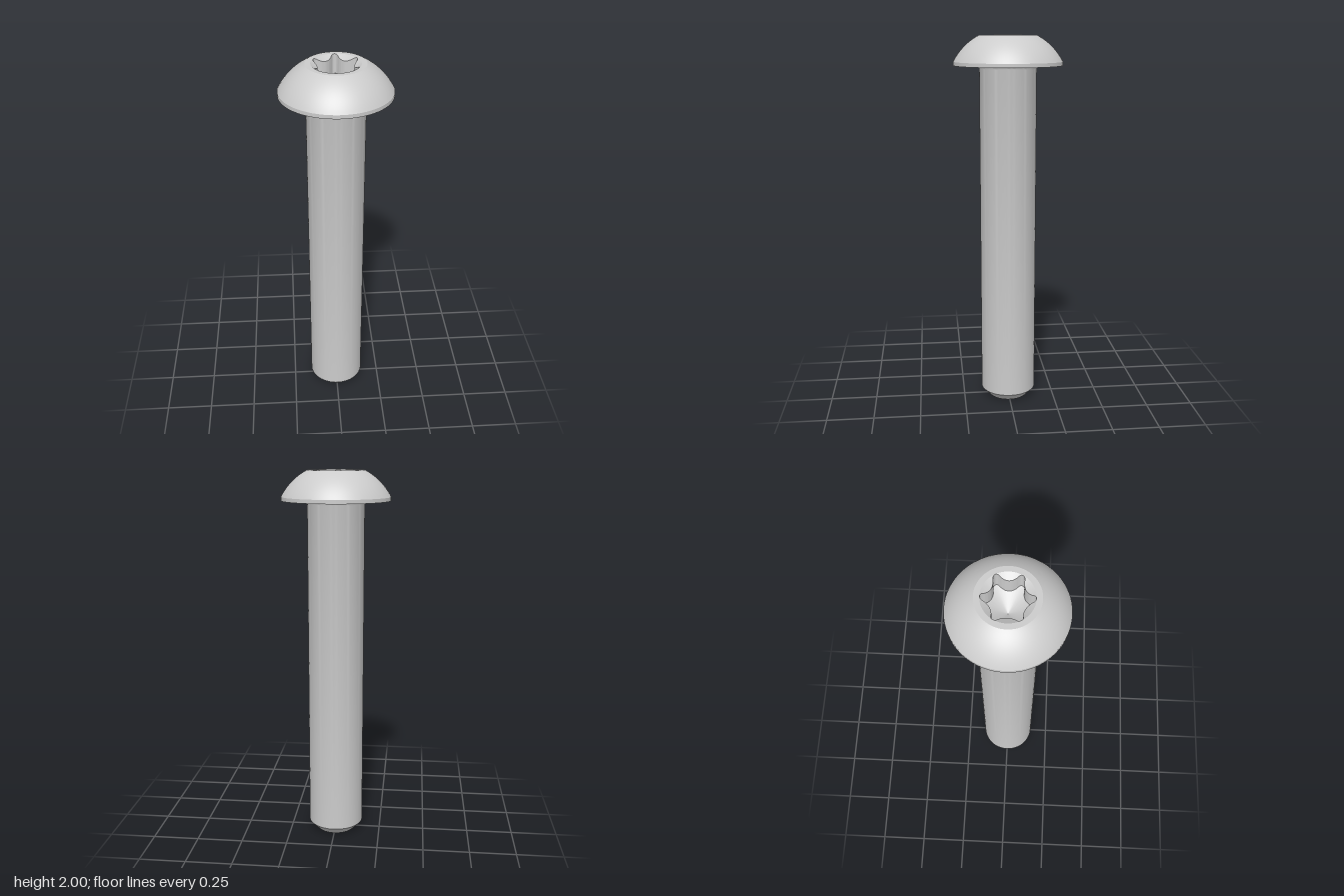
import * as THREE from 'three';
import { toCreasedNormals } from 'three/addons/utils/BufferGeometryUtils.js';

const TOP = 2, RIM = 0.1225, SLOPE = Math.tan(Math.PI / 6);

// Points (x, y) sampled along an arc
function arc(cx, cy, r, from, to, steps) {
  return Array.from({ length: steps + 1 }, (_, i) => {
    const t = from + (to - from) * i / steps;
    return new THREE.Vector2(cx + r * Math.cos(t), cy + r * Math.sin(t));
  });
}

// Six-lobed outline: small convex tips joined tangentially to wide concave arcs
function lobedOutline() {
  const tipR = 0.016, outer = 0.122, inner = 0.088, c = Math.cos(Math.PI / 6);
  const a = outer - tipR;
  const valleyR = (a * a + inner * inner - 2 * a * inner * c - tipR * tipR)
    / (2 * tipR - 2 * inner + 2 * a * c);
  const b = inner + valleyR, vx = b * c, vy = b / 2;
  const alpha = Math.atan2(vy, vx - a);
  const lobe = [
    ...arc(a, 0, tipR, -alpha, alpha, 10),
    ...arc(vx, vy, valleyR, alpha + Math.PI, Math.PI * 4 / 3 - alpha, 12).slice(1, -1),
  ];
  const points = [], origin = new THREE.Vector2();
  for (let k = 0; k < 6; k++) {
    for (const p of lobe) points.push(p.clone().rotateAround(origin, Math.PI / 2 + k * Math.PI / 3));
  }
  return points;
}

// Socket: conical countersink, lobed walls and a drill-point floor
function socketGeometry() {
  const star = lobedOutline(), n = star.length, floorApex = 1.83;
  const rings = [
    star.map(p => p.clone().setLength(RIM)).map(p => [p.x, TOP, p.y]),
    star.map(p => [p.x, TOP - (RIM - p.length()) * SLOPE, p.y]),
    star.map(p => [p.x, floorApex + p.length() * SLOPE, p.y]),
    star.map(() => [0, floorApex, 0]),
  ];
  const index = [];
  for (let r = 0; r < 3; r++) {
    for (let i = 0; i < n; i++) {
      const a = r * n + i, a2 = r * n + (i + 1) % n;
      index.push(a, a + n, a2);
      if (r < 2) index.push(a + n, a2 + n, a2);
    }
  }
  const geometry = new THREE.BufferGeometry();
  geometry.setAttribute('position', new THREE.Float32BufferAttribute(rings.flat(2), 3));
  geometry.setIndex(index);
  return toCreasedNormals(geometry, 0.45);
}

function lathe(points) {
  return toCreasedNormals(new THREE.LatheGeometry(points, 72), 0.4);
}

export function createModel() {
  const group = new THREE.Group();
  const material = new THREE.MeshStandardMaterial({ color: 0xcccccc });
  const add = (name, geometry) => {
    const mesh = new THREE.Mesh(geometry, material);
    mesh.name = name;
    group.add(mesh);
  };
  const v = (x, y) => new THREE.Vector2(x, y);

  // Shank with a chamfered end and a small fillet under the head
  const shankR = 0.15, headBase = 1.846, fillet = 0.016;
  add('shank', lathe([
    v(0, 0), v(0.106, 0), v(shankR, 0.046),
    ...arc(shankR + fillet, headBase - fillet, fillet, Math.PI, Math.PI / 2, 6),
  ]));

  // Domed head: flat underside, narrow rim, spherical crown, flat top ring
  const headR = 0.286, rimTop = 1.866, flatR = 0.15, h = TOP - rimTop;
  const u = (headR * headR + h * h - flatR * flatR) / (2 * h);
  const centreY = TOP - u, domeR = Math.hypot(flatR, u);
  add('head', lathe([
    v(shankR + fillet, headBase), v(headR, headBase),
    ...arc(0, centreY, domeR, Math.atan2(rimTop - centreY, headR), Math.atan2(u, flatR), 14),
    v(RIM, TOP),
  ]));

  add('driveSocket', socketGeometry());
  return group;
}
